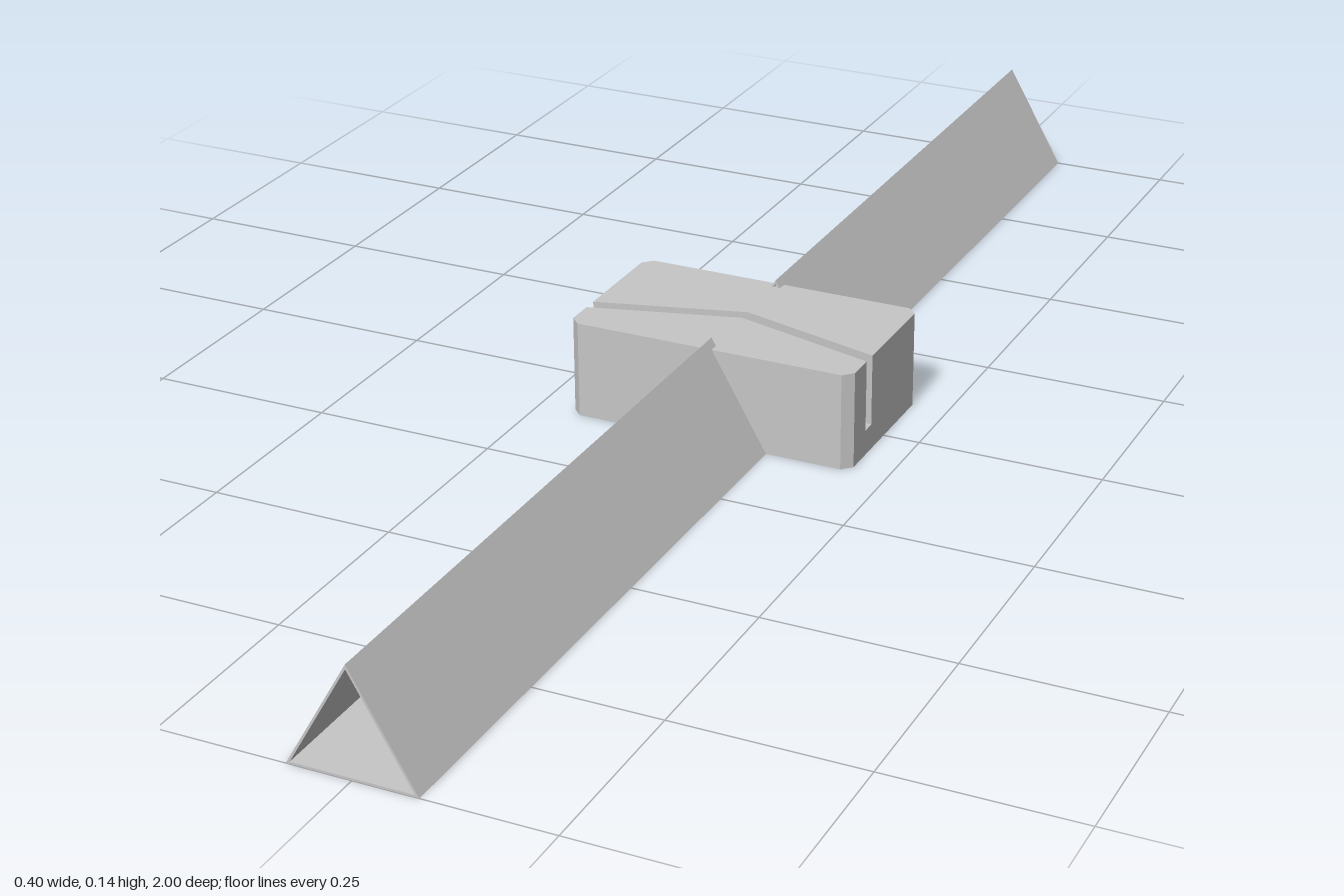
import * as THREE from 'three';

const W = 0.2, D = 0.113, C = 0.013;   // block half width, half depth, corner chamfer
const TOP = 0.133, FLOOR = 0.035;      // block height and groove floor
const R = 0.083, H = 0.1437, T = 0.003; // tube half base, height, wall
const END = 1, INNER = 0.1;            // tube outer end and its end inside the block

export function createModel() {
  const grey = new THREE.MeshStandardMaterial({ color: 0xc6c6c6 });
  grey.name = 'plain grey';
  const group = new THREE.Group();

  const add = (name, geometry) => {
    const mesh = new THREE.Mesh(geometry, grey);
    mesh.name = name;
    group.add(mesh);
    return mesh;
  };

  // Upright prism from an outline of [x, z] points
  const prism = (points, y0, y1) => {
    const shape = new THREE.Shape(points.map(([x, z]) => new THREE.Vector2(x, -z)));
    return new THREE.ExtrudeGeometry(shape, { depth: y1 - y0, bevelEnabled: false })
      .rotateX(-Math.PI / 2).translate(0, y0, 0);
  };

  // Chamfered block edges, from right to left
  const frontEdge = [[W, D - C], [W - C, D], [C - W, D], [-W, D - C]];
  const backEdge = [[-W, C - D], [C - W, -D], [W - C, -D], [W, C - D]];

  // Central block with a chevron groove across its top
  add('blockBase', prism([...frontEdge, ...backEdge], 0, FLOOR));
  add('blockFront', prism([...frontEdge, [-W, 0.062], [0, 0.007], [W, 0.062]], FLOOR, TOP));
  add('blockBack', prism([...backEdge, [W, 0.043], [0, -0.012], [-W, 0.043]], FLOOR, TOP));

  // Hollow triangular tubes
  const triangle = (r, y0, y1) => [[-r, y0], [r, y0], [0, y1]].map(([x, y]) => new THREE.Vector2(x, y));
  const section = new THREE.Shape(triangle(R, 0, H));
  section.holes.push(new THREE.Path(triangle(R - T * Math.sqrt(3), T, H - 2 * T)));
  const tube = new THREE.ExtrudeGeometry(section, { depth: END - INNER, bevelEnabled: false });
  add('frontTube', tube).position.z = INNER;
  add('backTube', tube).position.z = -END;

  return group;
}
